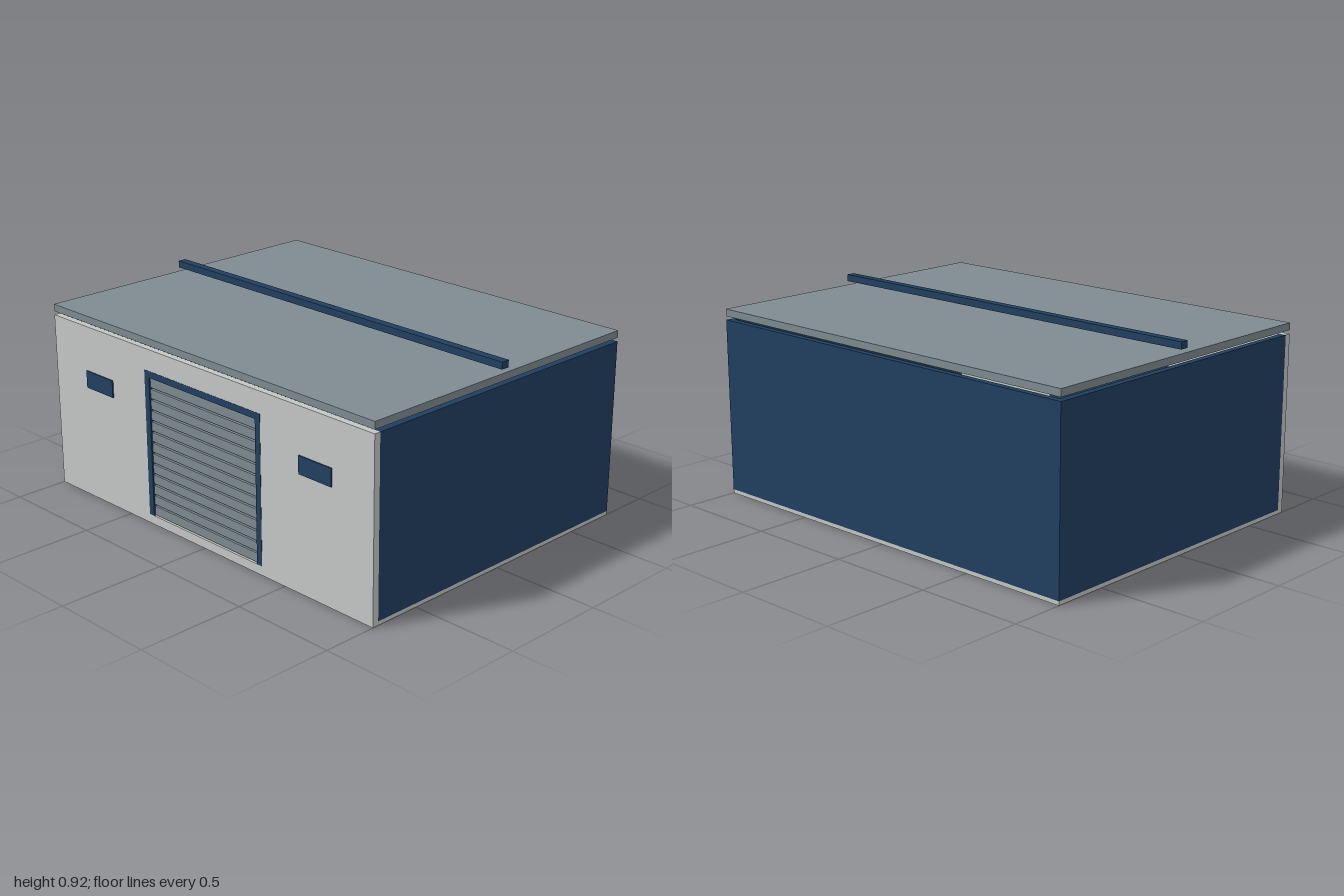
import * as THREE from 'three';

const paint = (name, color) => {
  const m = new THREE.MeshStandardMaterial({ color });
  m.name = name;
  return m;
};

export function createModel() {
  const group = new THREE.Group();
  const light = paint('light grey', 0xc4c8c5);
  const grey = paint('roof grey', 0x7e8b91);
  const blue = paint('dark blue', 0x213f60);

  const FRONT = 0.748, BACK = -0.754, T = 0.03;
  const BASE = 0.018, TOP = 0.818;

  // box given by its low and high limits on each axis
  const box = (name, mat, x0, x1, y0, y1, z0, z1) => {
    const mesh = new THREE.Mesh(new THREE.BoxGeometry(x1 - x0, y1 - y0, z1 - z0), mat);
    mesh.position.set((x0 + x1) / 2, (y0 + y1) / 2, (z0 + z1) / 2);
    mesh.name = name;
    group.add(mesh);
    return mesh;
  };
  const rect = (P, x0, x1, y0, y1) => new P([
    new THREE.Vector2(x0, y0), new THREE.Vector2(x1, y0),
    new THREE.Vector2(x1, y1), new THREE.Vector2(x0, y1),
  ]);
  // upright plate with a rectangular opening
  const openPlate = (name, mat, outer, inner, z0, z1) => {
    const shape = rect(THREE.Shape, ...outer);
    shape.holes.push(rect(THREE.Path, ...inner));
    const geo = new THREE.ExtrudeGeometry(shape, { depth: z1 - z0, bevelEnabled: false });
    const mesh = new THREE.Mesh(geo, mat);
    mesh.position.z = z0;
    mesh.name = name;
    group.add(mesh);
  };

  // floor and walls
  box('floorSlab', light, -1, 1, 0, BASE, BACK, FRONT);
  box('backWall', blue, -1, 1, BASE, TOP, BACK, BACK + T);
  box('leftWall', blue, 1 - T, 1, BASE, TOP, BACK + T, FRONT - T);
  box('rightWall', blue, -1, -1 + T, BASE, TOP, BACK + T, FRONT - T);

  // front wall with the gate opening
  const frame = [-0.367, 0.363, 0.042, 0.72];
  const opening = [-0.337, 0.333, 0.042, 0.69];
  openPlate('frontWall', light, [-1, 1, BASE, TOP], frame, FRONT - T, FRONT);

  // gate frame: two posts and a lintel
  box('gatePost', blue, frame[0], opening[0], frame[2], frame[3], FRONT - T, FRONT + 0.001);
  box('gatePost', blue, opening[1], frame[1], frame[2], frame[3], FRONT - T, FRONT + 0.001);
  box('gateLintel', blue, opening[0], opening[1], opening[3], frame[3], FRONT - T, FRONT + 0.001);

  // roller gate: slats over a dark backing
  box('gateBacking', blue, opening[0], opening[1], opening[2], opening[3], FRONT - T, FRONT - 0.02);
  const count = 13, pitch = (opening[3] - opening[2]) / count;
  for (let i = 0; i < count; i++) {
    const y = opening[2] + i * pitch;
    box('gateSlat', grey, opening[0], opening[1], y + 0.004, y + pitch - 0.004, FRONT - 0.02, FRONT - 0.006);
  }

  // windows on both sides of the gate
  for (const s of [-1, 1]) {
    const x = s * 0.682;
    box('window', blue, x - 0.092, x + 0.092, 0.53, 0.61, FRONT - 0.001, FRONT + 0.006);
  }

  // roof plate and the ridge bar, each set slightly above the part below
  box('roof', grey, -1, 1, 0.835, 0.868, BACK, FRONT);
  box('ridgeBar', blue, -1, 1, 0.886, 0.918, -0.023, 0.017);

  return group;
}
